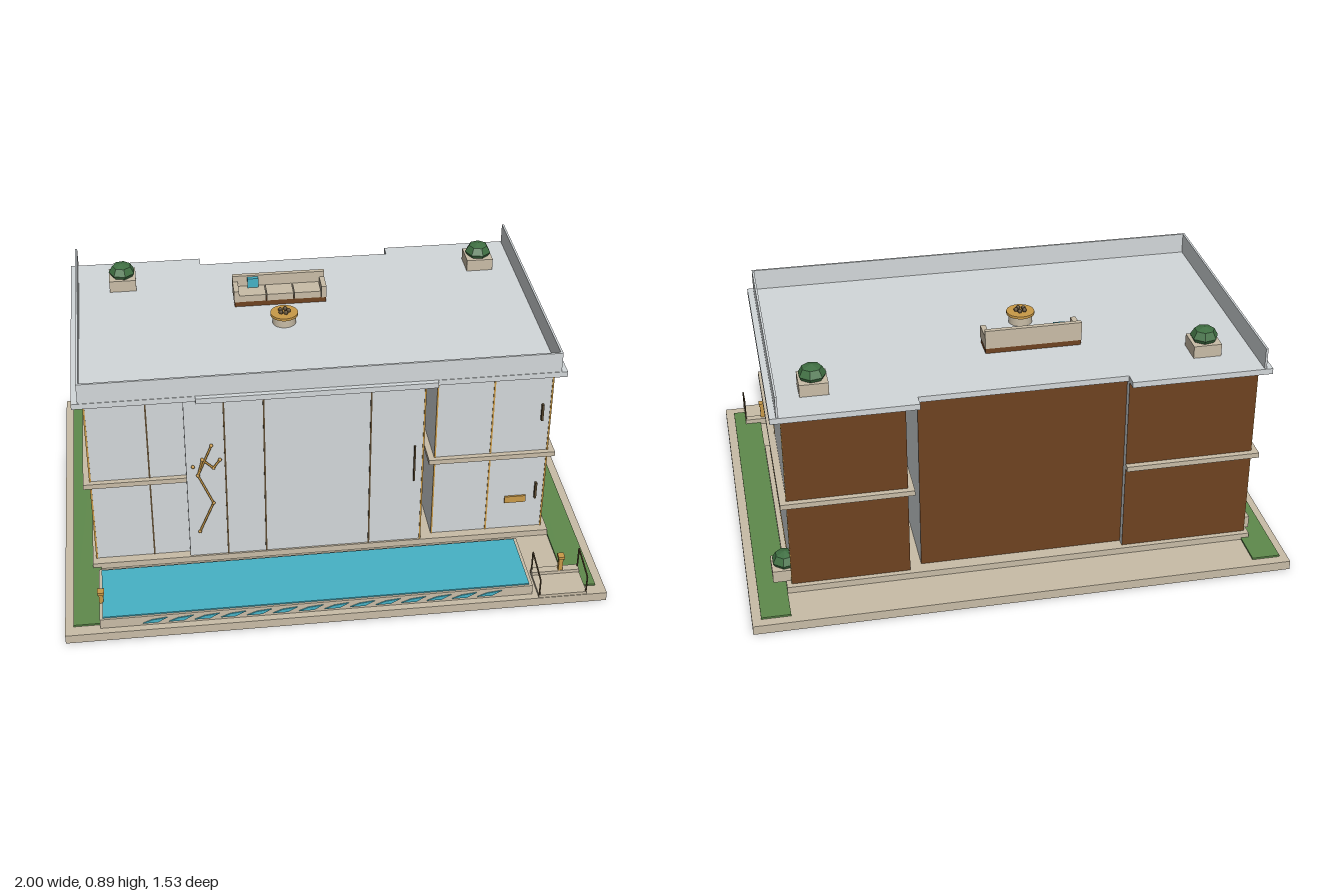
import * as THREE from 'three';

const mat = (name, color) => {
  const m = new THREE.MeshStandardMaterial({ color });
  m.name = name;
  return m;
};

export function createModel() {
  const root = new THREE.Group();
  root.name = 'house';
  const wall = mat('pale grey', 0xd3d8da);
  const stone = mat('stone', 0xc9bda7);
  const wood = mat('brown wood', 0x6e4220);
  const gold = mat('gold', 0xc99a48);
  const grass = mat('grass green', 0x5f8a4c);
  const leaf = mat('leaf green', 0x3f6f42);
  const water = mat('pool blue', 0x46b2c6);
  const dark = mat('dark bronze', 0x5b4a30);
  leaf.flatShading = true;

  const add = (name, geo, m, parent = root) => {
    const mesh = new THREE.Mesh(geo, m);
    mesh.name = name;
    parent.add(mesh);
    return mesh;
  };
  // box given by its limits on each axis
  const box = (name, x0, x1, y0, y1, z0, z1, m, parent = root) => {
    const b = add(name, new THREE.BoxGeometry(x1 - x0, y1 - y0, z1 - z0), m, parent);
    b.position.set((x0 + x1) / 2, (y0 + y1) / 2, (z0 + z1) / 2);
    return b;
  };
  // thin round bar between two points
  const bar = (name, a, b, r, m) => {
    const p = new THREE.Vector3(...a), q = new THREE.Vector3(...b);
    const d = q.clone().sub(p);
    const c = add(name, new THREE.CylinderGeometry(r, r, d.length(), 6), m);
    c.position.copy(p).add(q).multiplyScalar(0.5);
    c.quaternion.setFromUnitVectors(new THREE.Vector3(0, 1, 0), d.normalize());
    return c;
  };

  // ground, lawns and foundation
  box('baseSlab', -1, 1, 0, 0.035, -0.767, 0.767, stone);
  box('lawn', -0.97, -0.865, 0.035, 0.042, -0.73, 0.72, grass);
  box('lawn', 0.86, 0.967, 0.035, 0.042, -0.73, 0.72, grass);
  box('foundation', -0.895, 0.86, 0.035, 0.06, -0.595, 0.4, stone);

  // three wall blocks with timber backs
  const faces = [wall, wall, wall, wall, wall, wood];
  box('rightWing', -0.88, -0.4, 0.06, 0.766, -0.575, 0.365, faces);
  box('centreBlock', -0.4, 0.36, 0.06, 0.766, -0.545, 0.393, faces);
  box('leftWing', 0.405, 0.84, 0.06, 0.766, -0.575, 0.365, faces);
  box('entryPanel', -0.525, -0.385, 0.06, 0.766, 0.36, 0.393, wall);

  // floor bands around the wings
  box('floorBand', -0.905, -0.4, 0.4, 0.42, -0.597, 0.385, stone);
  box('floorBand', 0.383, 0.865, 0.4, 0.42, -0.597, 0.385, stone);

  // stepped roof slab
  const roof = new THREE.Shape([
    [-0.92, 0.615], [-0.4, 0.615], [-0.4, 0.565], [0.36, 0.565], [0.36, 0.615], [0.88, 0.615],
    [0.88, -0.398], [0.4, -0.398], [0.4, -0.415], [-0.48, -0.415], [-0.48, -0.398], [-0.92, -0.398],
  ].map(([x, y]) => new THREE.Vector2(x, y)));
  const roofGeo = new THREE.ExtrudeGeometry(roof, { depth: 0.022, bevelEnabled: false });
  add('roofSlab', roofGeo.rotateX(-Math.PI / 2), wall).position.y = 0.764;

  // parapet on the front and both sides
  box('frontParapet', -0.897, 0.857, 0.786, 0.866, 0.388, 0.396, wall);
  for (const x of [-0.897, 0.849]) box('sideParapet', x, x + 0.008, 0.786, 0.866, -0.61, 0.396, wall);

  // window joints on the front and sides
  for (const [x, z, m] of [[-0.878, 0.365, gold], [-0.66, 0.365, dark], [-0.38, 0.393, dark],
    [-0.235, 0.393, dark], [0.158, 0.393, dark], [0.357, 0.393, gold], [0.408, 0.365, gold],
    [0.62, 0.365, gold], [0.838, 0.365, gold]]) {
    box('frontJoint', x - 0.003, x + 0.003, 0.06, 0.766, z, z + 0.003, m);
  }
  for (const x of [-0.882, 0.84]) {
    for (const z of [-0.57, -0.105, 0.36]) {
      box('sideJoint', x, x + 0.002, 0.06, 0.766, z - 0.004, z + 0.004, gold);
    }
    for (const y of [0.061, 0.392]) box('sideRail', x, x + 0.002, y, y + 0.006, -0.57, 0.36, gold);
  }

  // door furniture and plate
  for (const y of [0.2, 0.56]) box('doorHandle', 0.802, 0.81, y, y + 0.07, 0.365, 0.378, dark);
  box('centreHandle', 0.322, 0.328, 0.345, 0.5, 0.393, 0.403, dark);
  box('wallPlate', 0.688, 0.77, 0.183, 0.212, 0.365, 0.372, gold);

  // zigzag wall sculpture
  const art = [[-0.485, 0.18], [-0.43, 0.31], [-0.483, 0.44], [-0.43, 0.57]];
  for (let i = 0; i < 3; i++) bar('wallSculpture', [...art[i], 0.402], [...art[i + 1], 0.402], 0.004, gold);
  const twig = [[-0.483, 0.44], [-0.465, 0.51], [-0.425, 0.47], [-0.4, 0.505]];
  for (let i = 0; i < 3; i++) bar('wallSculpture', [...twig[i], 0.402], [...twig[i + 1], 0.402], 0.004, gold);
  for (const [x, y] of [...art, ...twig, [-0.5, 0.48]]) {
    add('sculptureKnot', new THREE.SphereGeometry(0.007, 8, 6), gold).position.set(x, y, 0.402);
  }

  // pool with rim, water and slanted front tiles
  box('poolBody', -0.873, 0.722, 0.035, 0.075, 0.455, 0.74, stone);
  box('poolWater', -0.862, 0.71, 0.075, 0.08, 0.465, 0.732, water);
  for (let i = 0; i < 14; i++) {
    const x = -0.72 + i * 0.095;
    const tile = new THREE.Shape([[0, 0], [0.055, 0], [0.09, 0.02], [0.035, 0.014]]
      .map(([a, b]) => new THREE.Vector2(a, b)));
    const g = new THREE.ExtrudeGeometry(tile, { depth: 0.004, bevelEnabled: false });
    add('poolTile', g, water).position.set(x, 0.045, 0.74);
  }

  // steps with handrails beside the pool
  box('lowerStep', 0.742, 0.922, 0.035, 0.047, 0.62, 0.765, stone);
  box('upperStep', 0.742, 0.922, 0.047, 0.06, 0.62, 0.65, stone);
  for (const x of [0.744, 0.92]) {
    bar('railPost', [x, 0.045, 0.63], [x, 0.143, 0.63], 0.003, dark);
    bar('railPost', [x, 0.04, 0.762], [x, 0.115, 0.762], 0.003, dark);
    bar('handrail', [x, 0.143, 0.63], [x, 0.115, 0.762], 0.003, dark);
  }

  // bollard lamps
  for (const x of [-0.865, 0.85]) {
    box('lampPost', x - 0.008, x + 0.008, 0.04, 0.115, 0.632, 0.648, gold);
    box('lampCap', x - 0.012, x + 0.012, 0.115, 0.127, 0.626, 0.654, gold);
  }

  // square planters with faceted shrubs
  for (const [x, y, z] of [[-0.715, 0.786, -0.435], [0.712, 0.786, -0.435],
    [-0.855, 0.058, -0.5], [0.855, 0.058, -0.5]]) {
    const p = new THREE.Group();
    p.name = 'planter';
    p.position.set(x, y, z);
    root.add(p);
    box('planterBox', -0.052, 0.052, 0, 0.047, -0.052, 0.052, stone, p);
    const bush = add('shrub', new THREE.SphereGeometry(0.052, 7, 4), leaf, p);
    bush.position.y = 0.062;
    bush.scale.y = 0.72;
  }

  // roof sofa
  const sofa = new THREE.Group();
  sofa.name = 'sofa';
  sofa.position.set(-0.11, 0.786, -0.258);
  root.add(sofa);
  box('sofaBase', -0.178, 0.178, 0, 0.02, -0.046, 0.046, wood, sofa);
  box('sofaBack', -0.18, 0.18, 0.02, 0.092, -0.048, -0.03, stone, sofa);
  for (const s of [-1, 1]) box('sofaArm', s * 0.17 - 0.01, s * 0.17 + 0.01, 0.02, 0.068, -0.03, 0.048, stone, sofa);
  for (let i = 0; i < 3; i++) {
    const x = -0.159 + i * 0.107;
    box('sofaCushion', x, x + 0.103, 0.02, 0.047, -0.03, 0.046, stone, sofa);
  }
  box('pillow', -0.122, -0.08, 0.047, 0.086, -0.03, -0.014, water, sofa);

  // round fire table
  const table = new THREE.Group();
  table.name = 'fireTable';
  table.position.set(-0.11, 0.786, -0.077);
  root.add(table);
  add('tableDrum', new THREE.CylinderGeometry(0.045, 0.045, 0.034, 24), stone, table).position.y = 0.017;
  add('tableTop', new THREE.CylinderGeometry(0.053, 0.053, 0.01, 24), gold, table).position.y = 0.039;
  for (let i = 0; i < 5; i++) {
    const a = i * 1.257;
    add('log', new THREE.SphereGeometry(0.009, 7, 5), dark, table)
      .position.set(Math.cos(a) * 0.017, 0.05, Math.sin(a) * 0.017);
  }
  return root;
}
